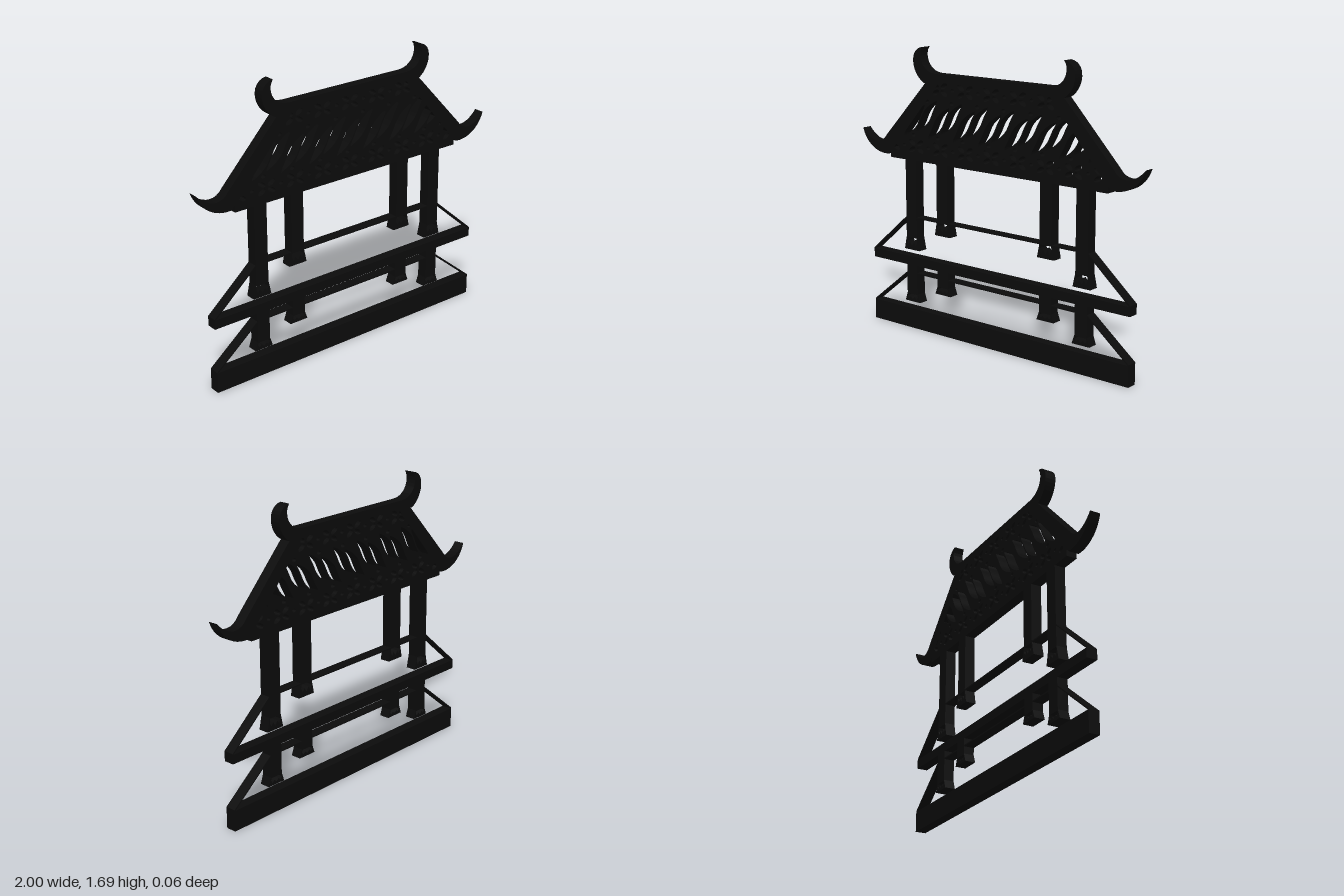
import * as THREE from 'three';

const DEPTH = 0.062;
const PERIOD = 0.187;
const material = new THREE.MeshStandardMaterial({ color: 0x0b0b0b, side: THREE.DoubleSide });
const toVec = (pts) => pts.map(([x, y]) => new THREE.Vector2(x, y));

// Cuts a flat silhouette from the sheet thickness
function plate(group, name, shape) {
  const geo = new THREE.ExtrudeGeometry(shape, { depth: DEPTH, bevelEnabled: false, curveSegments: 10 });
  geo.translate(0, 0, -DEPTH / 2);
  const mesh = new THREE.Mesh(geo, material);
  mesh.name = name;
  group.add(mesh);
  return mesh;
}
const poly = (group, name, pts) => plate(group, name, new THREE.Shape(toVec(pts)));
const bar = (group, name, x0, x1, y0, y1) => poly(group, name, [[x0, y0], [x1, y0], [x1, y1], [x0, y1]]);

// Roof slope: inner edge of the rafters, as half width at height y
const innerX = (y) => 0.392 + (1.497 - y) * 0.875;

// Keeps the part of a polygon between the two rafters
function clipToRoof(pts) {
  for (const s of [-1, 1]) {
    const room = ([x, y]) => innerX(y) - 0.003 - s * x;
    const out = [];
    pts.forEach((p, i) => {
      const q = pts[(i + 1) % pts.length], a = room(p), b = room(q);
      if (a >= 0) out.push(p);
      if (a * b < 0) {
        const t = a / (a - b);
        out.push([p[0] + (q[0] - p[0]) * t, p[1] + (q[1] - p[1]) * t]);
      }
    });
    pts = out;
  }
  return pts;
}

function oval(cx, cy, a, b, turn = 0, n = 14) {
  const c = Math.cos(turn), s = Math.sin(turn);
  return Array.from({ length: n }, (_, i) => {
    const t = (i / n) * Math.PI * 2, u = a * Math.cos(t), v = b * Math.sin(t);
    return [cx + u * c - v * s, cy + u * s + v * c];
  });
}

// Slanted S-shaped leaf opening
function leaf(cx, y0, y1) {
  const n = 14, left = [], right = [];
  for (let i = 0; i <= n; i++) {
    const t = i / n;
    const x = cx + 0.08 * (2 * t - 1) + 0.01 * Math.sin(2 * Math.PI * t);
    const w = 0.035 * Math.pow(Math.max(Math.sin(Math.PI * t), 0), 0.6);
    const y = y0 + (y1 - y0) * t;
    right.push([x + w, y]);
    if (i > 0 && i < n) left.unshift([x - w, y]);
  }
  return [...right, ...left];
}

// Pierced roof panel: flower rows above and below a band of leaves
function roofPanel(group) {
  const edge = (y) => innerX(y) + 0.02;
  const shape = new THREE.Shape(toVec([
    [-edge(1.06), 1.06], [edge(1.06), 1.06], [edge(1.51), 1.51], [-edge(1.51), 1.51]]));
  const holes = [];
  for (let k = -5; k <= 5; k++) {
    const f = k * PERIOD - 0.008, c = k * PERIOD - 0.02;
    for (const y of [1.112, 1.46]) {
      for (const sx of [-1, 1]) for (const sy of [-1, 1]) {
        holes.push(oval(f + sx * 0.031, y + sy * 0.021, 0.027, 0.0145, sx * sy * 0.5));
      }
      holes.push(oval(f + PERIOD / 2, y, 0.013, 0.01));
    }
    holes.push(leaf(c, 1.168, 1.36), leaf(c + PERIOD / 2, 1.2, 1.392));
    holes.push(oval(c + 0.1, 1.385, 0.015, 0.011), oval(c - 0.007, 1.177, 0.015, 0.011));
  }
  for (const h of holes) {
    const p = clipToRoof(h);
    if (p.length > 2 && Math.abs(THREE.ShapeUtils.area(toVec(p))) > 0.00012) {
      shape.holes.push(new THREE.Path(toVec(p)));
    }
  }
  plate(group, 'roofPanel', shape);
}

// Post with a flared foot whose opening is cut to a toothed crown
function post(group, x, top, shaftEnd, bottom) {
  const w = 0.041, foot = 0.058, h = shaftEnd - bottom;
  bar(group, 'postShaft', x - w, x + w, shaftEnd, top);
  const shape = new THREE.Shape(toVec([
    [x - foot, bottom], [x + foot, bottom], [x + w, shaftEnd + 0.003], [x - w, shaftEnd + 0.003]]));
  const crown = [[-0.037, 0.98], [-0.041, 0.66], [-0.029, 0.34], [-0.016, 0.62], [0, 0.3],
    [0.016, 0.62], [0.029, 0.34], [0.041, 0.66], [0.037, 0.98]];
  shape.holes.push(new THREE.Path(toVec(crown.map(([u, v]) => [x + u, bottom + v * h]))));
  plate(group, 'postFoot', shape);
}

// Thin outline of the floor receding behind its front edge
function floorOutline(group, y0, y1) {
  const t = 0.007;
  bar(group, 'floorBackEdge', -0.655, 0.655, y1 - t, y1);
  for (const s of [-1, 1]) {
    poly(group, 'floorSideEdge', [[s * 0.927, y0 - 0.004], [s * 0.927, y0 + 0.005],
      [s * 0.652, y1], [s * 0.652, y1 - 0.009]]);
  }
}

export function createModel() {
  const group = new THREE.Group();
  group.name = 'pavilion';

  // Base, floor and their outlines
  bar(group, 'base', -0.927, 0.927, 0, 0.12);
  bar(group, 'floor', -0.927, 0.927, 0.39, 0.443);
  floorOutline(group, 0.12, 0.348);
  floorOutline(group, 0.443, 0.687);

  // Posts of both storeys
  for (const s of [-1, 1]) {
    post(group, s * 0.615, 1.04, 0.56, 0.485);
    post(group, s * 0.374, 1.04, 0.685, 0.605);
    post(group, s * 0.615, 0.4, 0.212, 0.165);
    post(group, s * 0.374, 0.4, 0.295, 0.25);
  }

  // Roof beams and panel
  bar(group, 'eaveBeam', -0.772, 0.772, 1.025, 1.07);
  bar(group, 'ridgeBeam', -0.46, 0.46, 1.497, 1.545);
  roofPanel(group);

  for (const s of [-1, 1]) {
    // Rafter ending in an upturned eave horn
    const r = new THREE.Shape();
    r.moveTo(s * 0.392, 1.5);
    r.lineTo(s * innerX(1.07), 1.07);
    r.lineTo(s * 0.79, 1.043);
    r.bezierCurveTo(s * 0.88, 1.033, s * 0.97, 1.08, s * 1.0, 1.176);
    r.bezierCurveTo(s * 0.95, 1.115, s * 0.86, 1.075, s * 0.805, 1.155);
    r.lineTo(s * 0.49, 1.49);
    r.lineTo(s * 0.42, 1.545);
    plate(group, 'rafter', r);

    // Curled horn on the ridge end
    const h = new THREE.Shape();
    h.moveTo(s * 0.4, 1.545);
    h.lineTo(s * 0.4, 1.49);
    h.lineTo(s * 0.49, 1.487);
    h.bezierCurveTo(s * 0.575, 1.53, s * 0.59, 1.635, s * 0.545, 1.67);
    h.quadraticCurveTo(s * 0.53, 1.685, s * 0.498, 1.69);
    h.bezierCurveTo(s * 0.535, 1.65, s * 0.51, 1.545, s * 0.4, 1.545);
    plate(group, 'ridgeHorn', h).position.x = -0.014;
  }
  return group;
}
